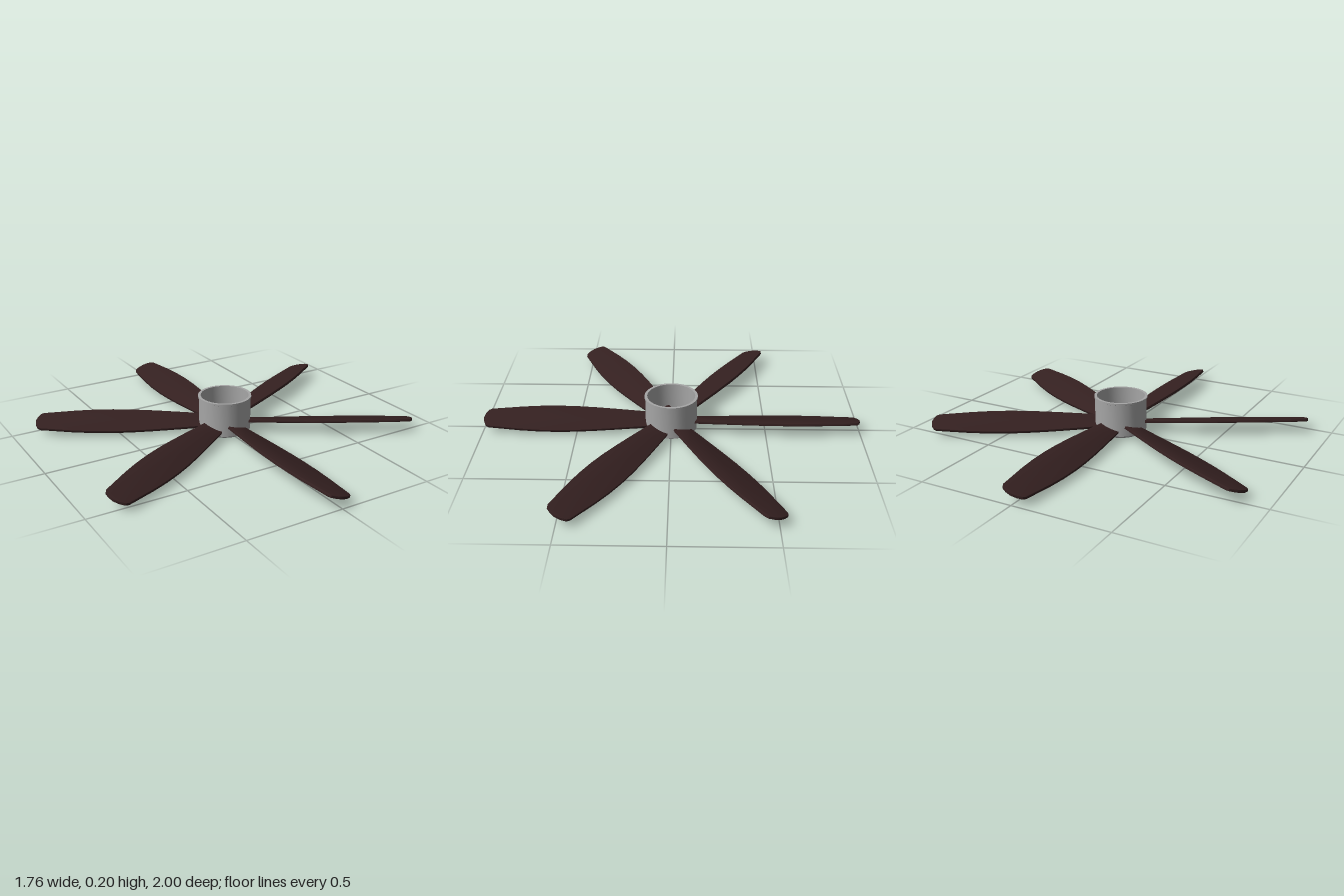
import * as THREE from 'three';
import { toCreasedNormals } from 'three/addons/utils/BufferGeometryUtils.js';

const mat = (name, color) => {
  const m = new THREE.MeshStandardMaterial({ color });
  m.name = name;
  return m;
};

// Blade outline: half-width at each distance from the hub axis
const OUTLINE = [[0.055, 0.05], [0.13, 0.053], [0.2, 0.06], [0.3, 0.07], [0.4, 0.079], [0.5, 0.086],
  [0.6, 0.089], [0.7, 0.087], [0.8, 0.08], [0.9, 0.069], [0.965, 0.062], [0.98, 0.054], [0.992, 0.03], [0.997, 0]];
const THICK = 0.015, BEVEL = 0.003, PITCH = THREE.MathUtils.degToRad(16);

function bladeGeometry() {
  const right = OUTLINE.map(([r, w]) => new THREE.Vector2(w / Math.cos(PITCH) - BEVEL * (w > 0), r));
  const left = right.slice(0, -1).reverse().map((p) => new THREE.Vector2(-p.x, p.y));
  const geo = new THREE.ExtrudeGeometry(new THREE.Shape([...right, ...left]), {
    depth: THICK - 2 * BEVEL, bevelEnabled: true, bevelThickness: BEVEL, bevelSize: BEVEL, bevelSegments: 2,
  });
  geo.translate(0, 0, BEVEL - THICK / 2);
  geo.rotateX(Math.PI / 2); // length along +z, thickness along y
  geo.rotateZ(-PITCH);
  return toCreasedNormals(geo, 0.6);
}

export function createModel() {
  const model = new THREE.Group();
  model.name = 'ceilingFan';
  const metal = mat('hubGrey', 0xa6a6a6);
  const wood = mat('darkWood', 0x342020);

  // Open cup: chamfered base, outer wall, lip, inner wall and floor
  const profile = [[0, 0], [0.108, 0], [0.112, 0.006], [0.136, 0.018], [0.136, 0.188], [0.14, 0.19],
    [0.14, 0.2], [0.126, 0.2], [0.126, 0.02], [0, 0.02]].map(([r, y]) => new THREE.Vector2(r, y));
  const hub = new THREE.Mesh(toCreasedNormals(new THREE.LatheGeometry(profile, 40), 0.4), metal);
  hub.name = 'hub';
  model.add(hub);

  // Six pitched blades passing through the hub wall
  const geo = bladeGeometry();
  for (let i = 0; i < 6; i++) {
    const blade = new THREE.Mesh(geo, wood);
    blade.name = `blade${i + 1}`;
    blade.position.y = 0.054;
    blade.rotation.y = (i * Math.PI) / 3;
    model.add(blade);
  }
  return model;
}
